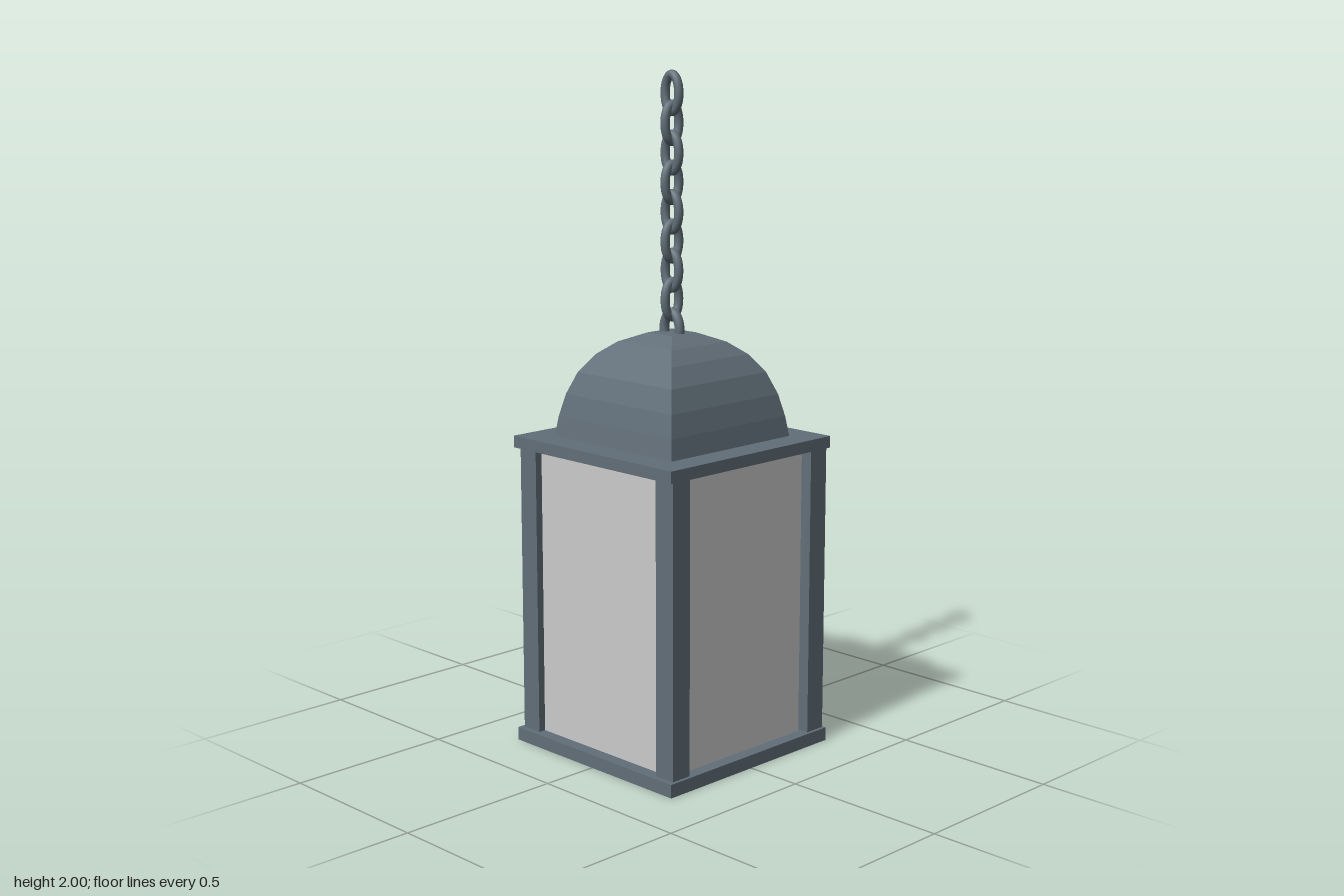
import * as THREE from 'three';

export function createModel() {
  const model = new THREE.Group();
  model.name = 'hangingLantern';

  const flatMetal = new THREE.MeshStandardMaterial({ color: 0x626f79, flatShading: true });
  const smoothMetal = new THREE.MeshStandardMaterial({ color: 0x626f79 });
  const glass = new THREE.MeshStandardMaterial({ color: 0xcccccc });

  function add(name, geometry, material, x, y, z) {
    const mesh = new THREE.Mesh(geometry, material);
    mesh.name = name;
    mesh.position.set(x, y, z);
    model.add(mesh);
    return mesh;
  }
  const box = (name, w, h, d, material, x, y, z) =>
    add(name, new THREE.BoxGeometry(w, h, d), material, x, y, z);

  // Base and top plates
  box('basePlate', 0.656, 0.04, 0.656, flatMetal, 0, 0.02, 0);
  box('topPlate', 0.656, 0.035, 0.656, flatMetal, 0, 0.9225, 0);

  // Corner posts, set very slightly towards the back
  const bottom = 0.04, top = 0.905;
  const height = top - bottom, middle = (top + bottom) / 2;
  for (const x of [-0.284, 0.284]) {
    for (const z of [-0.29, 0.278]) {
      box('cornerPost', 0.067, height, 0.067, flatMetal, x, middle, z);
    }
  }

  // Glass panes, recessed between the posts
  for (const side of [-1, 1]) {
    box(side > 0 ? 'frontPane' : 'backPane', 0.51, height, 0.01, glass, 0, middle, side * 0.284);
    box(side > 0 ? 'leftPane' : 'rightPane', 0.01, height, 0.5, glass, side * 0.284, middle, 0.002);
  }

  // Four-sided domed roof: half widths and heights of the profile
  const profile = [
    [0.243, 0.94], [0.234, 1.0], [0.219, 1.065], [0.194, 1.13],
    [0.157, 1.183], [0.112, 1.22], [0.05, 1.247], [0, 1.248],
  ].map(([half, y]) => new THREE.Vector2(half * Math.SQRT2, y));
  add('roof', new THREE.LatheGeometry(profile, 4, Math.PI / 4), flatMetal, 0, 0, 0);

  // Oval link of round wire standing in the xy plane
  function linkGeometry(halfWidth, halfHeight, wire) {
    const points = [];
    for (let i = 0; i < 24; i++) {
      const a = (i / 24) * Math.PI * 2;
      points.push(new THREE.Vector3(
        Math.cos(a) * (halfWidth - wire), Math.sin(a) * (halfHeight - wire), 0));
    }
    return new THREE.TubeGeometry(new THREE.CatmullRomCurve3(points, true), 32, wire, 10, true);
  }

  // Hanger loop, half sunk in the roof, and the chain of alternating links
  add('hangerLoop', linkGeometry(0.046, 0.066, 0.0145), smoothMetal, 0, 1.255, 0);
  const link = linkGeometry(0.041, 0.066, 0.0135);
  for (let i = 0; i < 8; i++) {
    const mesh = add('chainLink', link, smoothMetal, 0, 1.934 - i * 0.0843, 0);
    mesh.rotation.y = i % 2 ? Math.PI / 2 : 0;
  }

  return model;
}
